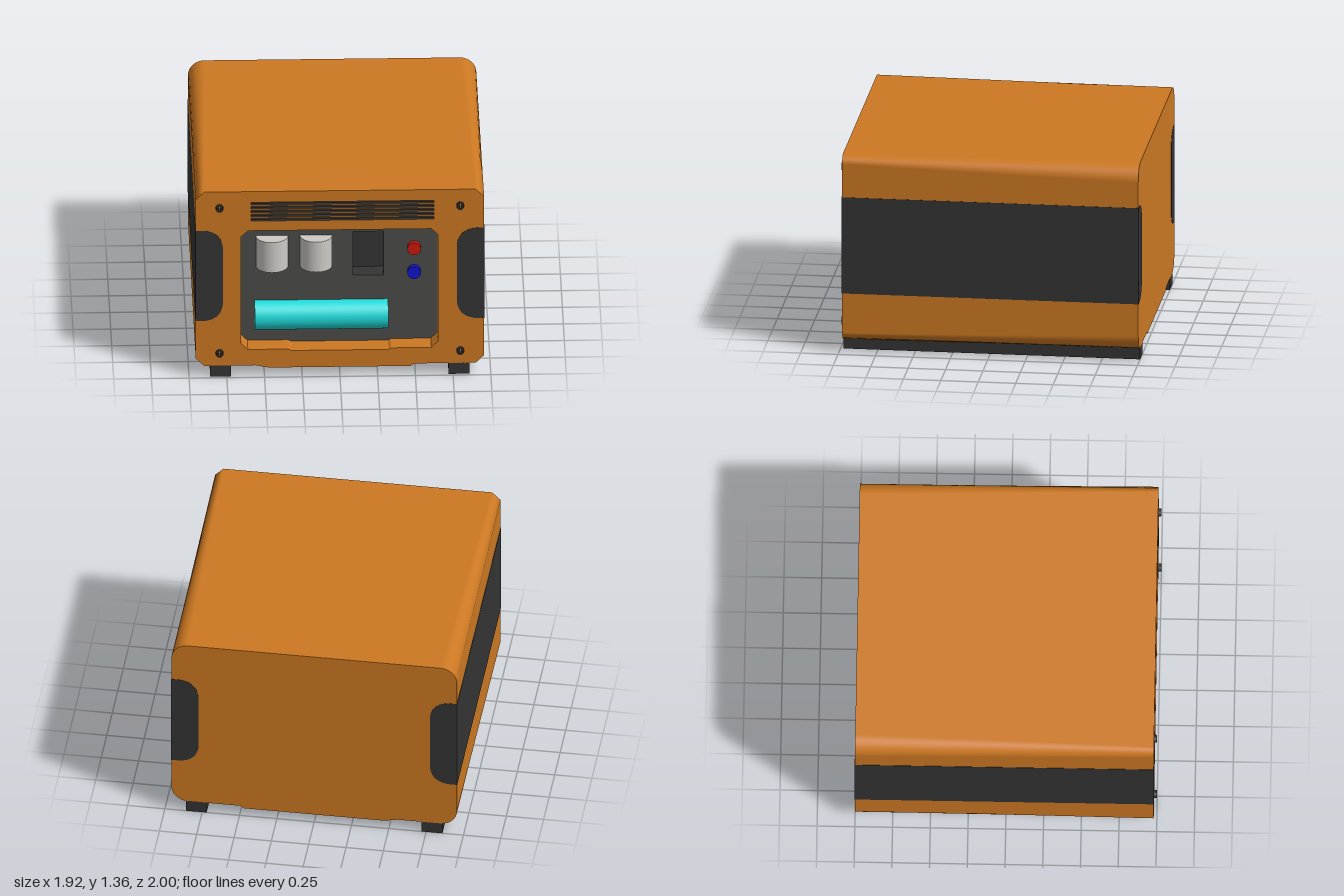
import * as THREE from 'three';

const ORANGE = 0xcc7822, DARK = 0x343434, PANEL = 0x4b4b49;
const W = 0.956, BOTTOM = 0.08, TOP = 1.362, FRONT = 0.98, BACK = -1, INNER = 0.84;

const mat = (color, side = THREE.FrontSide) => new THREE.MeshStandardMaterial({ color, side });

function add(group, name, geometry, color, x = 0, y = 0, z = 0, side) {
  const mesh = new THREE.Mesh(geometry, mat(color, side));
  mesh.name = name;
  mesh.position.set(x, y, z);
  group.add(mesh);
  return mesh;
}

const poly = (pts) => new THREE.Shape(pts.map(([x, y]) => new THREE.Vector2(x, y)));
const rect = (x0, y0, x1, y1) => poly([[x0, y0], [x1, y0], [x1, y1], [x0, y1]]);
const extrude = (shape, depth) =>
  new THREE.ExtrudeGeometry(shape, { depth, bevelEnabled: false, curveSegments: 16 });

// Case section: chamfered corners at the front, rounded ones at the back
function section(rounded) {
  const out = [], n = 8, r = 0.11, c = 0.056;
  const mid = (TOP + BOTTOM) / 2, h = (TOP - BOTTOM) / 2;
  for (let k = 0; k < 4; k++) {
    const sx = k === 0 || k === 3 ? 1 : -1, sy = k < 2 ? 1 : -1;
    for (let i = 0; i <= n; i++) {
      const t = i / n, a = (k + t) * Math.PI / 2;
      const nx = Math.cos(a), ny = Math.sin(a);
      const s = k % 2 ? 1 - t : t;
      const x = rounded ? sx * (W - r) + r * nx : sx * (W - c * s);
      const y = rounded ? sy * (h - r) + r * ny : sy * (h - c * (1 - s));
      out.push({ x, y: mid + y, nx, ny });
    }
  }
  return out;
}

// Skin between the front and back sections, with smooth corner normals
function shellGeometry(front, back) {
  const pos = [], nor = [], idx = [], n = front.length;
  [[front, FRONT], [back, BACK]].forEach(([ring, z]) => ring.forEach((p) => {
    pos.push(p.x, p.y, z);
    nor.push(p.nx, p.ny, 0);
  }));
  for (let i = 0; i < n; i++) {
    const j = (i + 1) % n;
    idx.push(i, n + i, j, j, n + i, n + j);
  }
  const g = new THREE.BufferGeometry();
  g.setAttribute('position', new THREE.Float32BufferAttribute(pos, 3));
  g.setAttribute('normal', new THREE.Float32BufferAttribute(nor, 3));
  g.setIndex(idx);
  return g;
}

// Inner walls of an opening, from a closed outline
function wallGeometry(pts, z0, z1) {
  const pos = [];
  pts.forEach(([ax, ay], i) => {
    const [bx, by] = pts[(i + 1) % pts.length];
    pos.push(ax, ay, z0, ax, ay, z1, bx, by, z1, ax, ay, z0, bx, by, z1, bx, by, z0);
  });
  const g = new THREE.BufferGeometry();
  g.setAttribute('position', new THREE.Float32BufferAttribute(pos, 3));
  g.computeVertexNormals();
  return g;
}

// Screw head with a cross slot
function screwGeometry() {
  const s = new THREE.Shape().absarc(0, 0, 0.026, 0, Math.PI * 2);
  const a = 0.004, b = 0.02;
  s.holes.push(poly([[-a, -b], [a, -b], [a, -a], [b, -a], [b, a], [a, a],
    [a, b], [-a, b], [-a, a], [-b, a], [-b, -a], [-a, -a]]));
  return extrude(s, 0.02);
}

export function createModel() {
  const model = new THREE.Group();
  model.name = 'powerUnit';

  // Case
  const body = new THREE.Group();
  body.name = 'case';
  model.add(body);
  const front = section(false), back = section(true);
  add(body, 'caseShell', shellGeometry(front, back), ORANGE);
  const backFace = add(body, 'backFace',
    new THREE.ShapeGeometry(poly(back.map((p) => [-p.x, p.y]))), ORANGE, 0, 0, BACK);
  backFace.rotation.y = Math.PI;

  // Front frame with the window and vent slots
  const opening = [[-0.61, 0.197], [-0.34, 0.197], [-0.32, 0.186], [0.322, 0.186], [0.34, 0.197],
    [0.606, 0.197], [0.65, 0.242], [0.65, 1.03], [0.606, 1.073],
    [-0.61, 1.073], [-0.654, 1.03], [-0.654, 0.242]];
  const frame = poly(front.map((p) => [p.x, p.y]));
  frame.holes.push(poly(opening));
  for (let i = 0; i < 5; i++) {
    const y = 1.272 - i * 0.0295;
    const slot = [[-0.59, y - 0.01], [0.625, y - 0.01], [0.625, y + 0.01], [-0.59, y + 0.01]];
    frame.holes.push(poly(slot));
    add(body, 'ventSlotWalls', wallGeometry(slot, 0.955, FRONT), DARK, 0, 0, 0, THREE.DoubleSide);
  }
  add(body, 'frontFrame', new THREE.ShapeGeometry(frame), ORANGE, 0, 0, FRONT);
  add(body, 'ventBacking', new THREE.PlaneGeometry(1.23, 0.16), DARK, 0.0175, 1.213, 0.955);
  add(body, 'windowWalls', wallGeometry(opening, INNER, FRONT), ORANGE, 0, 0, 0, THREE.DoubleSide);

  // Raised belly plate
  add(body, 'bellyPlate', extrude(poly([[-0.565, 0.081], [-0.47, 0.062], [0.47, 0.062],
    [0.495, 0.081]]), FRONT - BACK), ORANGE, 0, 0, BACK);

  // Control panel with a socket pocket
  const controls = new THREE.Group();
  controls.name = 'controlPanel';
  model.add(controls);
  const pocket = [[0.092, 0.668], [0.292, 0.668], [0.292, 0.99], [0.092, 0.99]];
  const panel = poly(opening);
  panel.holes.push(poly(pocket));
  add(controls, 'panelFace', new THREE.ShapeGeometry(panel), PANEL, 0, 0, INNER);
  add(controls, 'pocketWalls', wallGeometry(pocket, INNER - 0.13, INNER), DARK, 0, 0, 0, THREE.DoubleSide);
  add(controls, 'pocketBack', new THREE.ShapeGeometry(rect(0.092, 0.668, 0.292, 0.99)),
    DARK, 0, 0, INNER - 0.13);

  // Half-round knobs and display bar
  for (const x of [-0.447, -0.154])
    add(controls, 'knob', new THREE.CylinderGeometry(0.107, 0.107, 0.222, 32, 1, false, -Math.PI / 2, Math.PI),
      0xcccac4, x, 0.856, INNER);
  const bar = add(controls, 'displayBar',
    new THREE.CylinderGeometry(0.103, 0.103, 0.885, 32, 1, false, -Math.PI / 2, Math.PI),
    0x20dcdc, -0.12, 0.388, INNER);
  bar.rotation.z = Math.PI / 2;

  // Buttons
  for (const [name, y, color] of [['redButton', 0.872, 0xcc1a10], ['blueButton', 0.697, 0x1014cc]]) {
    const b = add(controls, name, new THREE.CylinderGeometry(0.045, 0.045, 0.04, 32), color, 0.495, y, INNER + 0.015);
    b.rotation.x = Math.PI / 2;
  }

  for (const s of [-1, 1]) {
    // Side band wrapping onto the front and back
    const inner = 0.775, r = 0.13, lo = 0.411, hi = 1.077, edge = W + 0.002;
    const band = new THREE.Shape();
    band.moveTo(s * edge, lo);
    band.lineTo(s * edge, hi);
    band.lineTo(s * (inner + r), hi);
    band.quadraticCurveTo(s * (inner + 0.01), hi - 0.01, s * inner, hi - r);
    band.lineTo(s * inner, lo + r);
    band.quadraticCurveTo(s * (inner + 0.01), lo + 0.01, s * (inner + r), lo);
    add(model, s > 0 ? 'leftBand' : 'rightBand', extrude(band, FRONT - BACK + 0.004),
      DARK, 0, 0, BACK - 0.002);

    // Foot rail
    add(model, s > 0 ? 'leftFoot' : 'rightFoot', new THREE.BoxGeometry(0.139, 0.082, FRONT - BACK),
      DARK, s * 0.79, 0.041, (FRONT + BACK) / 2);

    // Screws
    for (const y of [0.175, 1.245])
      add(model, 'screw', screwGeometry(), DARK, s * 0.798, y, FRONT);
  }
  return model;
}
